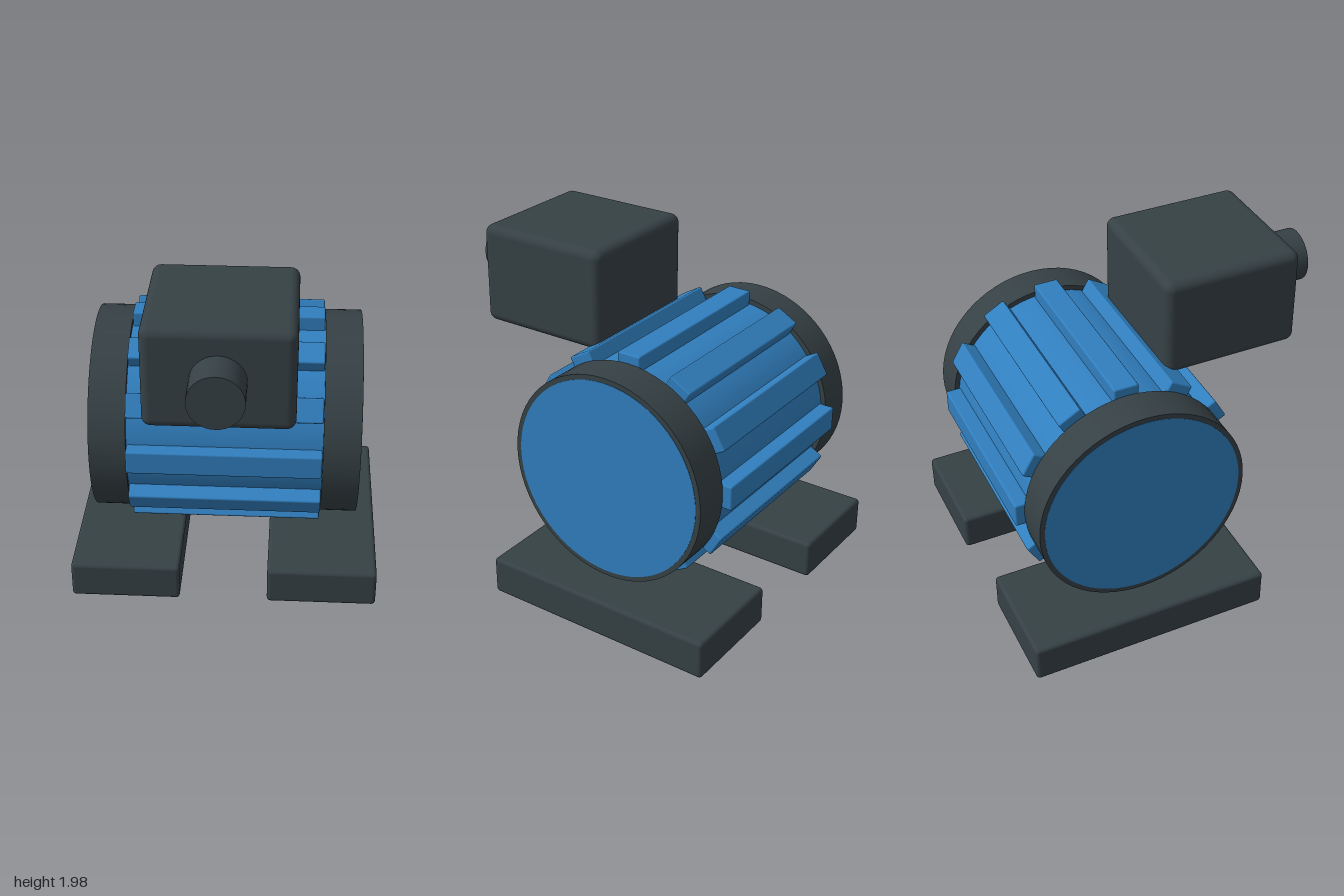
import * as THREE from 'three';
import { RoundedBoxGeometry } from 'three/addons/geometries/RoundedBoxGeometry.js';

export function createModel() {
  const model = new THREE.Group();
  model.name = 'electricMotor';
  const blue = new THREE.MeshStandardMaterial({ color: 0x317fbf });
  blue.name = 'motorBlue';
  const dark = new THREE.MeshStandardMaterial({ color: 0x364145 });
  dark.name = 'darkGrey';

  const add = (name, geometry, material, x, y, z, parent = model) => {
    const mesh = new THREE.Mesh(geometry, material);
    mesh.name = name;
    mesh.position.set(x, y, z);
    parent.add(mesh);
    return mesh;
  };

  // Motor drum, lying along x
  const drum = new THREE.Group();
  drum.name = 'drum';
  drum.position.set(0, 0.908, -0.302);
  model.add(drum);
  const along = (r, length) =>
    new THREE.CylinderGeometry(r, r, length, 64).rotateZ(Math.PI / 2);
  add('body', along(0.566, 1.524), blue, 0, 0, 0, drum);

  // End bells, leaving the body's end faces visible
  for (const [side, s] of [['left', 1], ['right', -1]]) {
    add(side + 'EndBell', along(0.594, 0.21), dark, s * 0.655, 0, 0, drum);
  }

  // Cooling fins around the body
  const finCount = 12;
  const finGeometry = new RoundedBoxGeometry(1.094, 0.11, 0.14, 2, 0.01);
  for (let i = 0; i < finCount; i++) {
    const a = (i / finCount) * Math.PI * 2;
    const fin = add('coolingFin', finGeometry, blue,
      0, Math.cos(a) * 0.59, Math.sin(a) * 0.59, drum);
    fin.rotation.x = a;
  }

  // Terminal box with its cable gland
  add('terminalBox', new RoundedBoxGeometry(0.79, 0.567, 0.79, 4, 0.05), dark, 0, 1.702, 0.396);
  add('cableGland', new THREE.CylinderGeometry(0.148, 0.148, 0.3, 40).rotateX(Math.PI / 2),
    dark, 0, 1.702, 0.85);

  // Mounting feet
  const footGeometry = new RoundedBoxGeometry(0.632, 0.222, 1.394, 3, 0.022);
  add('leftFoot', footGeometry, dark, 0.571, 0.113, -0.303);
  add('rightFoot', footGeometry, dark, -0.571, 0.113, -0.303);

  return model;
}
